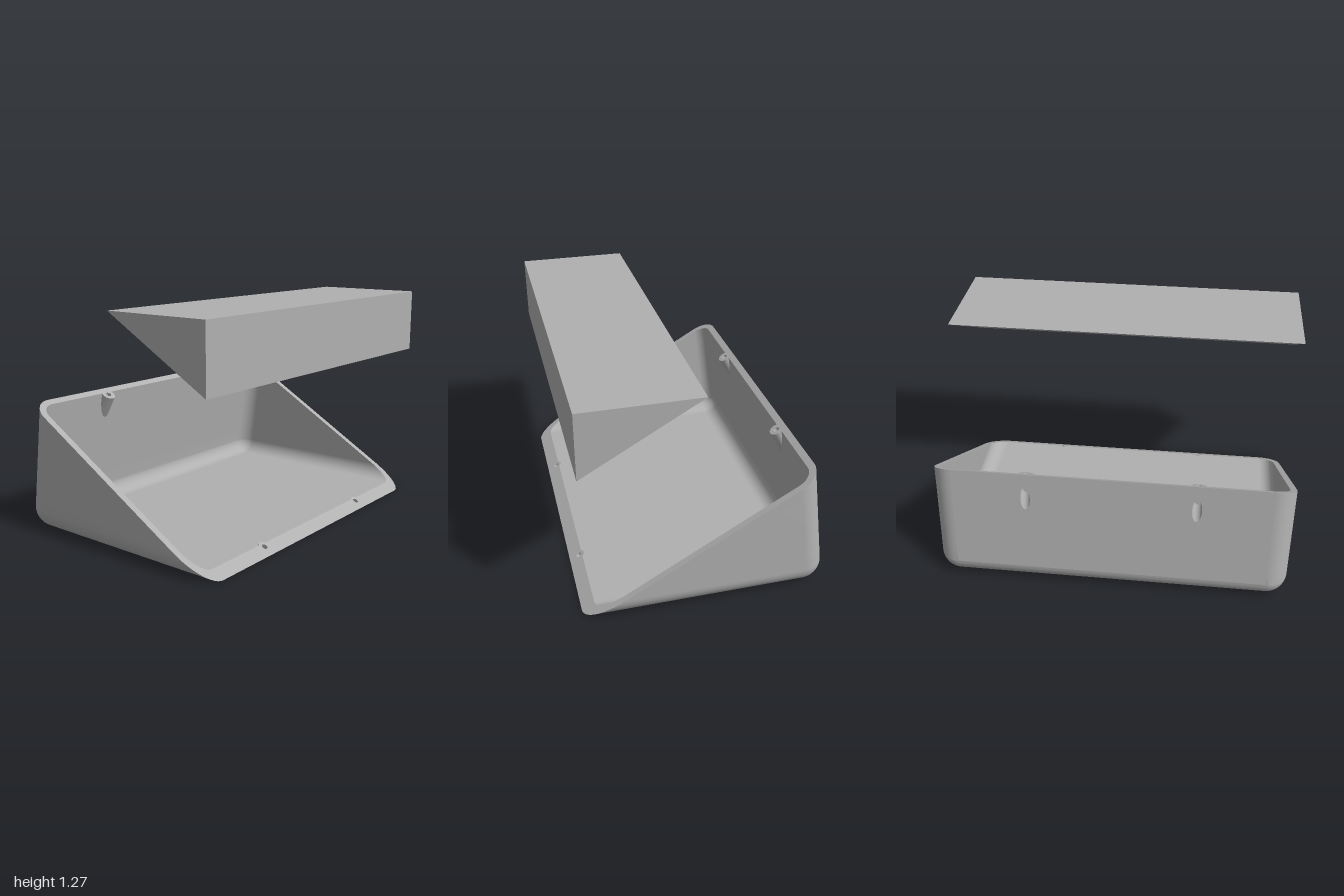
import * as THREE from 'three';

const SLOPE = 0.58, LEAN = 0.134, WALL = 0.037;
const ANG = Math.atan(SLOPE), C = Math.cos(ANG), S = Math.sin(ANG);
const cutZ = y => 0.665 - y / SLOPE;                          // sloping open face
const backZ = (y, off = 0) => -0.585 - LEAN * (0.725 - y) + off; // leaning back wall
const topY = off => (1.25 + LEAN * 0.725 - off) / (1 / SLOPE + LEAN);

// Rounded tray wall made of horizontal U-shaped contours, clipped by the sloping face
function trayWall(hw, y0, r, off, inner) {
  const top = topY(off), N = 12, rows = [], ys = [];
  for (let i = 0; i <= 12; i++) ys.push(y0 + r * (1 - Math.cos(i / 12 * Math.PI / 2)));
  for (let i = 1; i <= 6; i++) ys.push(y0 + r + (top - 0.1 - y0 - r) * i / 6);
  for (let i = 1; i <= 20; i++) ys.push(top - 0.1 * (1 - Math.sin(i / 20 * Math.PI / 2)));
  for (const y of ys) {
    const k = Math.max(0, r - (y - y0));
    const R = Math.sqrt(Math.max(0, r * r - k * k));
    const zc = backZ(Math.max(y, y0 + r), off) + r, zf = cutZ(y), xc = hw - r;
    const a0 = zf < zc ? Math.asin(Math.min(1, (zc - zf) / Math.max(R, 1e-6))) : 0;
    const half = [[xc + R * Math.cos(a0), zf]];
    for (let j = 0; j <= N; j++) {
      const a = a0 + (Math.PI / 2 - a0) * j / N;
      half.push([xc + R * Math.cos(a), zc - R * Math.sin(a)]);
    }
    rows.push([...half, ...half.map(([x, z]) => [-x, z]).reverse()].map(([x, z]) => [x, y, z]));
  }
  const n = rows[0].length, idx = [];
  for (let i = 0; i < rows.length - 1; i++) for (let j = 0; j < n - 1; j++) {
    if (!inner && i >= 12 && j === N + 1) continue;            // flat back panel fills this
    const a = i * n + j, b = a + 1, c = a + n, d = c + 1;
    idx.push(...(inner ? [a, c, b, b, c, d] : [a, b, c, b, d, c]));
  }
  const geo = new THREE.BufferGeometry();
  geo.setAttribute('position', new THREE.Float32BufferAttribute(rows.flat(2), 3));
  geo.setIndex(idx);
  geo.computeVertexNormals();
  const edge = [...rows.map(q => q[0]), ...rows.map(q => q[n - 1]).reverse()];
  return { geo, edge: edge.map(q => new THREE.Vector2(q[0], q[1])) };
}

// Point in a drilling frame that is square to the sloping face at (x, y)
function drill(x, y, px, pz, depth) {
  const p = new THREE.Vector3(x + px, y - S * pz, cutZ(y) + C * pz);
  const t = typeof depth === 'function' ? depth(p) : depth;
  return p.add(new THREE.Vector3(0, -C * t, -S * t));
}
const toBack = off => p => Math.max(0, (p.z - backZ(p.y, off)) / (S - LEAN * C));
const toLevel = y => p => Math.max(0, (p.y - y) / C);

function mapGeo(geo, fn) {
  const pos = geo.attributes.position, v = new THREE.Vector3();
  for (let i = 0; i < pos.count; i++) {
    const q = fn(v.fromBufferAttribute(pos, i));
    pos.setXYZ(i, q.x, q.y, q.z);
  }
  geo.computeVertexNormals();
  return geo;
}
const tube = (x, y, r, from, to) => mapGeo(new THREE.CylinderGeometry(r, r, 1, 28, 1, true),
  v => drill(x, y, v.x, v.z, v.y > 0 ? from : to));
const ring = (x, y, r0, r1, depth) => mapGeo(new THREE.RingGeometry(r0, r1, 28).rotateX(-Math.PI / 2),
  v => drill(x, y, v.x, v.z, depth));
function holePath(x, y, r, depth, axis) {
  const pts = [];
  for (let i = 0; i < 28; i++) {
    const a = i / 28 * Math.PI * 2, p = drill(x, y, r * Math.cos(a), r * Math.sin(a), depth);
    pts.push(new THREE.Vector2(p.x, p[axis]));
  }
  return new THREE.Path(pts);
}
const rectShape = (x, y0, y1) => new THREE.Shape([[-x, y0], [x, y0], [x, y1], [-x, y1]]
  .map(p => new THREE.Vector2(...p)));

export function createModel() {
  const model = new THREE.Group();
  model.name = 'slopedEnclosure';
  const grey = new THREE.MeshStandardMaterial({ color: 0xb0b0b0, side: THREE.DoubleSide });
  grey.name = 'grey';
  const add = (name, geo) => {
    const m = new THREE.Mesh(geo, grey);
    m.name = name;
    model.add(m);
    return m;
  };
  const R = 0.12, RI = 0.083, HW = 1, HWI = HW - WALL, FLOOR = 0.04;
  const sides = [-0.47, 0.47], bossY = 0.696, frontY = 0.03, pilot = 0.016, bore = 0.027;

  // Outer and inner walls
  const outer = trayWall(HW, 0, R, 0, false), inner = trayWall(HWI, FLOOR, RI, WALL, true);
  add('outerWall', outer.geo);
  add('innerWall', inner.geo);

  // Sloping rim between them, with the front screw holes
  const rim = new THREE.Shape(outer.edge);
  rim.holes.push(new THREE.Path(inner.edge));
  sides.forEach(x => rim.holes.push(holePath(x, frontY, pilot, 0, 'y')));
  add('rim', mapGeo(new THREE.ShapeGeometry(rim), v => v.setZ(cutZ(v.y))));

  // Back panel with slanted screw openings
  const back = rectShape(HW - R, R, topY(0));
  sides.forEach(x => back.holes.push(holePath(x, bossY, bore, toBack(0), 'y')));
  const backGeo = new THREE.ShapeGeometry(back);
  backGeo.setIndex([...backGeo.index.array].reverse());
  add('backPanel', mapGeo(backGeo, v => v.setZ(backZ(v.y))));

  // Underside with foot recesses and screw holes
  const under = rectShape(HW - R, backZ(R) + R, cutZ(0));
  sides.forEach(x => under.holes.push(holePath(x, frontY, pilot, toLevel(0), 'z')));
  for (const x of [-0.67, 0.67]) for (const z of [-0.345, 0.495]) {
    under.holes.push(new THREE.Path().absarc(x, z, 0.065, 0, Math.PI * 2, true));
    add('footRecessWall', new THREE.CylinderGeometry(0.065, 0.065, 0.015, 32, 1, true)).position.set(x, 0.0075, z);
    add('footRecess', new THREE.CircleGeometry(0.065, 32).rotateX(Math.PI / 2)).position.set(x, 0.015, z);
  }
  add('underside', new THREE.ShapeGeometry(under, 32).rotateX(Math.PI / 2));

  // Inside floor
  const fz0 = backZ(FLOOR + RI, WALL) + RI, fz1 = cutZ(FLOOR);
  add('insideFloor', new THREE.PlaneGeometry(2 * (HWI - RI), fz1 - fz0).rotateX(-Math.PI / 2))
    .position.set(0, FLOOR, (fz0 + fz1) / 2);

  // Screw bosses: long ones on the back wall, short ones at the front lip
  for (const x of sides) {
    add('backBoss', tube(x, bossY, 0.04, 0, toBack(WALL)));
    add('backBossTop', ring(x, bossY, pilot, 0.04, 0));
    add('backPilotHole', tube(x, bossY, pilot, 0, 0.05));
    add('backBoreShoulder', ring(x, bossY, pilot, bore, 0.05));
    add('backBore', tube(x, bossY, bore, 0.05, toBack(0)));
    add('frontBoss', tube(x, frontY, 0.034, 0, toLevel(FLOOR)));
    add('frontBossTop', ring(x, frontY, pilot, 0.034, 0));
    add('frontPilotHole', tube(x, frontY, pilot, 0, toLevel(0)));
  }

  // Floating wedge block above the tray
  const wedge = new THREE.Shape([[-0.665, 0.91], [-0.04, 1.27], [-0.665, 1.27]]
    .map(p => new THREE.Vector2(...p)));
  add('wedgeBlock', new THREE.ExtrudeGeometry(wedge, { depth: 2, bevelEnabled: false })
    .translate(0, 0, -1).rotateY(Math.PI / 2));
  return model;
}
